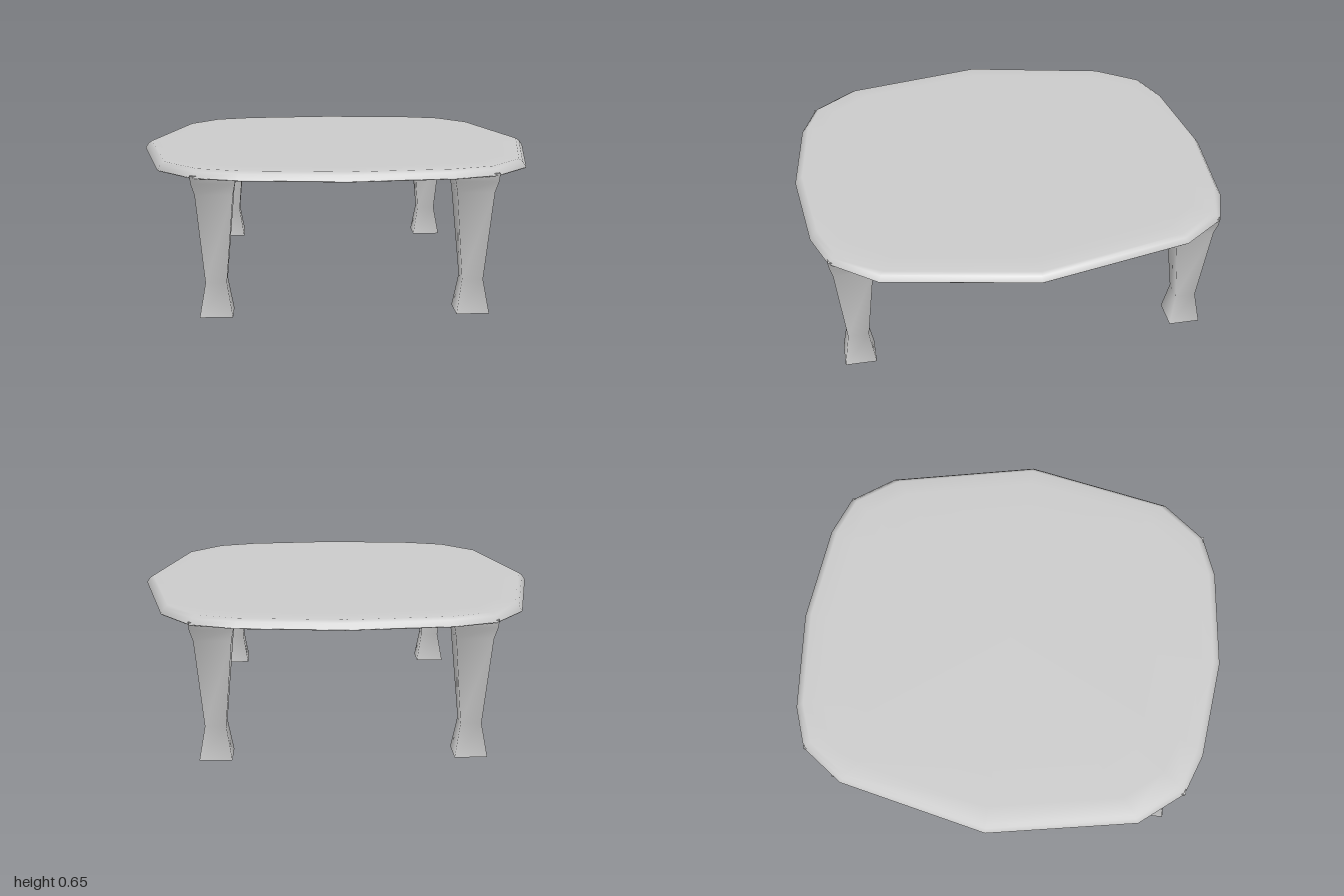
import * as THREE from 'three';

// Skin over rings of [x, y, z] listed from bottom to top; smooth sides, capped ends.
function loft(rings, flatCaps) {
  const n = rings[0].length, pos = [], idx = [];
  rings.forEach(r => r.forEach(p => pos.push(...p)));
  for (let i = 0; i < rings.length - 1; i++) {
    for (let j = 0; j < n; j++) {
      const a = i * n + j, b = i * n + (j + 1) % n;
      idx.push(a, a + n, b, b, a + n, b + n);
    }
  }
  [0, rings.length - 1].forEach((k, top) => {
    const r = rings[k];
    let start = k * n;
    if (flatCaps) { // separate vertices keep the cap edge sharp
      start = pos.length / 3;
      r.forEach(p => pos.push(...p));
    }
    const centre = pos.length / 3;
    pos.push(...[0, 1, 2].map(c => r.reduce((s, p) => s + p[c], 0) / n));
    for (let j = 0; j < n; j++) {
      const a = start + j, b = start + (j + 1) % n;
      if (top) idx.push(centre, b, a);
      else idx.push(centre, a, b);
    }
  });
  const g = new THREE.BufferGeometry();
  g.setAttribute('position', new THREE.Float32BufferAttribute(pos, 3));
  g.setIndex(idx);
  g.computeVertexNormals();
  return g;
}

export function createModel() {
  const model = new THREE.Group();
  model.name = 'lowTable';
  const material = new THREE.MeshStandardMaterial({ color: 0xcccccc });

  // Table top: faceted rounded outline with a bevelled rim
  const half = [[0.81, 0.68], [0.65, 0.88], [0.46, 0.95]];
  const outline = [
    [0.94, 0], ...half, [0, 1],
    ...half.map(([x, z]) => [-x, z]).reverse(), [-0.94, 0],
    [-0.79, -0.69], [-0.65, -0.885], [-0.46, -0.955], [0, -1],
    [0.46, -0.955], [0.65, -0.885], [0.79, -0.69]
  ];
  const profile = [[0.72, 0.613], [0.9, 0.612], [0.995, 0.612], [1, 0.617],
    [0.983, 0.64], [0.965, 0.651], [0.88, 0.653], [0.7, 0.653]];
  const top = new THREE.Mesh(
    loft(profile.map(([s, y]) => outline.map(([x, z]) => [x * s, y, z * s])), false), material);
  top.name = 'tableTop';
  model.add(top);

  // Legs: square sections [y, x inner, x outer, z inner, z outer]
  const sections = [
    [0, 0.485, 0.628, 0.71, 0.855],
    [0.148, 0.51, 0.602, 0.735, 0.83],
    [0.54, 0.476, 0.637, 0.692, 0.867],
    [0.59, 0.466, 0.652, 0.684, 0.878],
    [0.625, 0.46, 0.655, 0.68, 0.883]
  ];
  for (const sx of [1, -1]) {
    for (const sz of [1, -1]) {
      const rings = sections.map(([y, x0, x1, z0, z1]) => {
        const r = [[x0, z0], [x1, z0], [x1, z1], [x0, z1]].map(([x, z]) => [x * sx, y, z * sz]);
        return sx * sz > 0 ? r : r.reverse(); // mirrored legs keep the same winding
      });
      const leg = new THREE.Mesh(loft(rings, true), material);
      leg.name = (sz > 0 ? 'front' : 'back') + (sx > 0 ? 'Left' : 'Right') + 'Leg';
      model.add(leg);
    }
  }
  return model;
}
